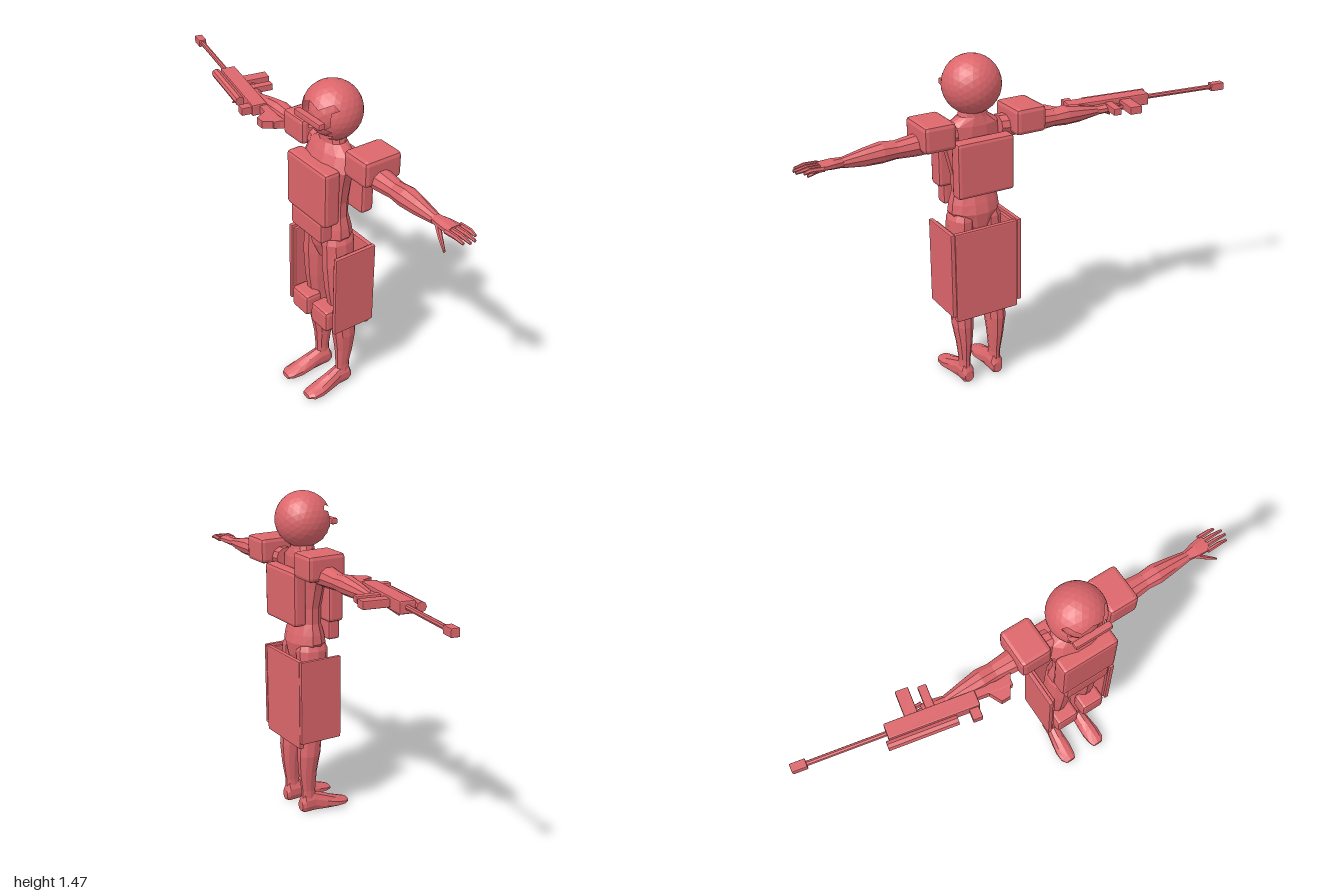
import * as THREE from 'three';
import { RoundedBoxGeometry } from 'three/addons/geometries/RoundedBoxGeometry.js';

const red = new THREE.MeshStandardMaterial({ color: 0xdc666b, flatShading: true, side: THREE.DoubleSide });
red.name = 'coral red';

function add(parent, name, geometry) {
  const mesh = new THREE.Mesh(geometry, red);
  mesh.name = name;
  parent.add(mesh);
  return mesh;
}

// Copy reflected in x, with the corner order reversed to keep faces outward
function mirrored(geometry) {
  const g = geometry.index ? geometry.toNonIndexed() : geometry.clone();
  const p = g.attributes.position;
  const a = new THREE.Vector3(), b = new THREE.Vector3();
  g.scale(-1, 1, 1);
  for (let i = 0; i < p.count; i += 3) {
    a.fromBufferAttribute(p, i + 1);
    b.fromBufferAttribute(p, i + 2);
    p.setXYZ(i + 1, b.x, b.y, b.z);
    p.setXYZ(i + 2, a.x, a.y, a.z);
  }
  g.computeVertexNormals();
  return g;
}

function pair(parent, name, geometry) {
  add(parent, 'left ' + name, geometry);
  add(parent, 'right ' + name, mirrored(geometry));
}

// Chamfered box given by its limits on each axis
function slab(x0, x1, y0, y1, z0, z1, bevel = 0.012) {
  return new RoundedBoxGeometry(x1 - x0, y1 - y0, z1 - z0, 1, bevel)
    .translate((x0 + x1) / 2, (y0 + y1) / 2, (z0 + z1) / 2);
}

// Closed skin over elliptical sections [x, y, z, radiusU, radiusV] rising along an axis
const AXES = { x: [1, 2], y: [2, 0], z: [0, 1] };
function loft(axis, sections, sides = 10) {
  const [u, v] = AXES[axis];
  const pos = [], idx = [];
  for (const [x, y, z, ru, rv] of sections) {
    for (let i = 0; i < sides; i++) {
      const t = ((i + 0.5) / sides) * Math.PI * 2, p = [x, y, z];
      p[u] += Math.cos(t) * ru;
      p[v] += Math.sin(t) * rv;
      pos.push(...p);
    }
  }
  const last = (sections.length - 1) * sides;
  for (let i = 0; i < sides; i++) {
    const j = (i + 1) % sides;
    for (let s = 0; s < last; s += sides) {
      idx.push(s + i, s + j, s + sides + j, s + i, s + sides + j, s + sides + i);
    }
    if (i > 0 && j > 0) idx.push(0, j, i, last, last + i, last + j);
  }
  const g = new THREE.BufferGeometry();
  g.setAttribute('position', new THREE.Float32BufferAttribute(pos, 3));
  g.setIndex(idx);
  g.computeVertexNormals();
  return g;
}

// Faceted ball with a face opening cut out of its front
function helmetShell(r) {
  const ball = new THREE.IcosahedronGeometry(r, 4), p = ball.attributes.position, keep = [];
  for (let i = 0; i < p.count; i += 3) {
    const mid = (f) => (p[f](i) + p[f](i + 1) + p[f](i + 2)) / (3 * r);
    const x = mid('getX'), y = mid('getY'), z = mid('getZ');
    if (z > 0.2 && y < 0.46 && Math.abs(x) < 0.72 + 0.25 * y) continue;
    for (let k = i; k < i + 3; k++) keep.push(p.getX(k), p.getY(k), p.getZ(k));
  }
  const g = new THREE.BufferGeometry();
  g.setAttribute('position', new THREE.Float32BufferAttribute(keep, 3));
  g.computeVertexNormals();
  return g;
}

function buildBody() {
  const body = new THREE.Group();
  body.name = 'soldier';

  // Head
  add(body, 'helmet', helmetShell(0.122)).position.set(0, 1.35, -0.005);
  add(body, 'face', new THREE.IcosahedronGeometry(1, 2).scale(0.083, 0.108, 0.092).translate(0, 1.35, 0.005));
  add(body, 'nose', new THREE.ConeGeometry(0.016, 0.04, 4).translate(0, 1.325, 0.095));
  add(body, 'visor', slab(-0.085, 0.085, 1.328, 1.355, 0.09, 0.12, 0.006));

  // Torso: sections hold depth first, then width
  add(body, 'torso', loft('y', [
    [0, 0.68, 0.0, 0.045, 0.025], [0, 0.75, 0.0, 0.075, 0.07], [0, 0.81, 0.0, 0.084, 0.115],
    [0, 0.85, 0.0, 0.075, 0.11], [0, 0.90, 0.0, 0.06, 0.097], [0, 0.97, 0.0, 0.06, 0.098],
    [0, 1.06, 0.005, 0.07, 0.118], [0, 1.13, 0.008, 0.075, 0.138], [0, 1.19, -0.005, 0.062, 0.12],
    [0, 1.225, -0.01, 0.05, 0.065], [0, 1.30, -0.005, 0.045, 0.046]], 12));

  // Armour
  add(body, 'chest plate', slab(-0.132, 0.132, 0.907, 1.153, 0.046, 0.122, 0.015));
  add(body, 'belly plate', slab(-0.105, 0.105, 0.82, 0.915, 0.06, 0.12));
  add(body, 'back plate', slab(-0.13, 0.13, 0.91, 1.15, -0.125, -0.062, 0.015));
  add(body, 'rear skirt', slab(-0.147, 0.147, 0.352, 0.76, -0.115, -0.092, 0.006));
  pair(body, 'skirt lining', slab(0.132, 0.15, 0.39, 0.75, -0.1, 0.075, 0.005));
  pair(body, 'skirt plate', slab(0.147, 0.167, 0.38, 0.762, -0.115, 0.086, 0.005));
  pair(body, 'shoulder pad', slab(0.135, 0.275, 1.137, 1.25, -0.136, 0.042, 0.018));
  pair(body, 'knee pad', slab(0.013, 0.125, 0.37, 0.468, 0.02, 0.102, 0.015));

  // Legs and feet
  pair(body, 'leg', loft('y', [
    [0.075, 0.06, -0.03, 0.034, 0.024], [0.075, 0.11, -0.031, 0.034, 0.023], [0.077, 0.2, -0.035, 0.044, 0.034],
    [0.08, 0.29, -0.03, 0.055, 0.046], [0.078, 0.37, -0.022, 0.056, 0.046], [0.072, 0.45, -0.005, 0.05, 0.042],
    [0.07, 0.55, 0.0, 0.062, 0.052], [0.066, 0.67, 0.0, 0.073, 0.06], [0.062, 0.78, 0.0, 0.074, 0.055],
    [0.058, 0.82, 0.0, 0.06, 0.04]]));
  const foot = loft('z', [
    [0.072, 0.035, -0.07, 0.022, 0.025], [0.073, 0.047, -0.055, 0.03, 0.05], [0.074, 0.048, -0.005, 0.031, 0.05],
    [0.078, 0.032, 0.05, 0.037, 0.044], [0.081, 0.022, 0.1, 0.042, 0.032], [0.083, 0.018, 0.145, 0.038, 0.02],
    [0.08, 0.017, 0.168, 0.025, 0.012]]);
  const fp = foot.attributes.position;
  for (let i = 0; i < fp.count; i++) fp.setY(i, Math.max(fp.getY(i), 0.005 - 0.005 * (i % 2)));
  foot.computeVertexNormals();
  pair(body, 'foot', foot);

  // Arms and hands
  pair(body, 'arm', loft('x', [
    [0.1, 1.165, -0.03, 0.045, 0.05], [0.2, 1.16, -0.04, 0.05, 0.054], [0.28, 1.154, -0.04, 0.044, 0.05],
    [0.36, 1.152, -0.042, 0.036, 0.041], [0.42, 1.153, -0.042, 0.042, 0.046], [0.49, 1.148, -0.042, 0.036, 0.037],
    [0.58, 1.144, -0.042, 0.021, 0.024]]));
  pair(body, 'palm', loft('x', [
    [0.575, 1.145, -0.042, 0.02, 0.022], [0.62, 1.148, -0.044, 0.02, 0.033], [0.675, 1.15, -0.047, 0.014, 0.039]], 8));
  [0.745, 0.768, 0.77, 0.758].forEach((tip, i) => {
    const z = -0.082 + i * 0.023;
    pair(body, 'finger ' + (i + 1), loft('x', [
      [0.665, 1.15, z, 0.011, 0.01], [0.72, 1.153, z, 0.01, 0.009], [tip, 1.147, z, 0.006, 0.006]], 6));
  });
  pair(body, 'thumb', loft('x', [
    [0.605, 1.143, -0.03, 0.013, 0.016], [0.65, 1.12, -0.004, 0.011, 0.011], [0.698, 1.092, 0.017, 0.006, 0.006]], 6));
  return body;
}

// Rifle lying on its side, muzzle towards -x and sight towards +z
function buildRifle() {
  const rifle = new THREE.Group();
  rifle.name = 'rifle';
  const rod = (r, x0, x1, z) => new THREE.CylinderGeometry(r, r, x1 - x0, 8)
    .rotateZ(Math.PI / 2).translate((x0 + x1) / 2, 0, z);
  add(rifle, 'receiver', slab(-0.175, 0.2, -0.026, 0.026, -0.034, 0.034, 0.006));
  add(rifle, 'barrel', rod(0.011, -0.5, -0.16, 0));
  add(rifle, 'muzzle brake', slab(-0.557, -0.495, -0.017, 0.017, -0.018, 0.018, 0.004));
  add(rifle, 'sight', rod(0.021, -0.188, 0.1, 0.05));
  add(rifle, 'sight rail', slab(-0.16, 0.07, -0.01, 0.01, 0.025, 0.045, 0.003));
  add(rifle, 'magazine', slab(-0.088, -0.034, -0.017, 0.017, -0.145, -0.025, 0.004));
  add(rifle, 'grip', slab(0.0, 0.036, -0.015, 0.015, -0.132, -0.025, 0.004));
  add(rifle, 'bolt knob', slab(0.153, 0.193, -0.018, 0.018, 0.025, 0.08, 0.004));
  add(rifle, 'stock tube', slab(0.19, 0.35, -0.018, 0.018, -0.04, 0.0, 0.004));
  const butt = new THREE.Shape([[0.2, -0.02], [0.36, -0.052], [0.323, 0.041], [0.284, 0.048], [0.25, 0]]
    .map(([x, y]) => new THREE.Vector2(x, y)));
  add(rifle, 'butt', new THREE.ExtrudeGeometry(butt, { depth: 0.034, bevelEnabled: false })
    .rotateX(Math.PI / 2).translate(0, 0.017, 0));
  rifle.position.set(-0.45, 1.157, -0.014);
  rifle.rotation.set(0, -0.185, -0.028);
  return rifle;
}

export function createModel() {
  const model = new THREE.Group();
  model.name = 'armoured soldier';
  const body = buildBody();
  body.position.x = 0.22;
  model.add(body, buildRifle());
  return model;
}
